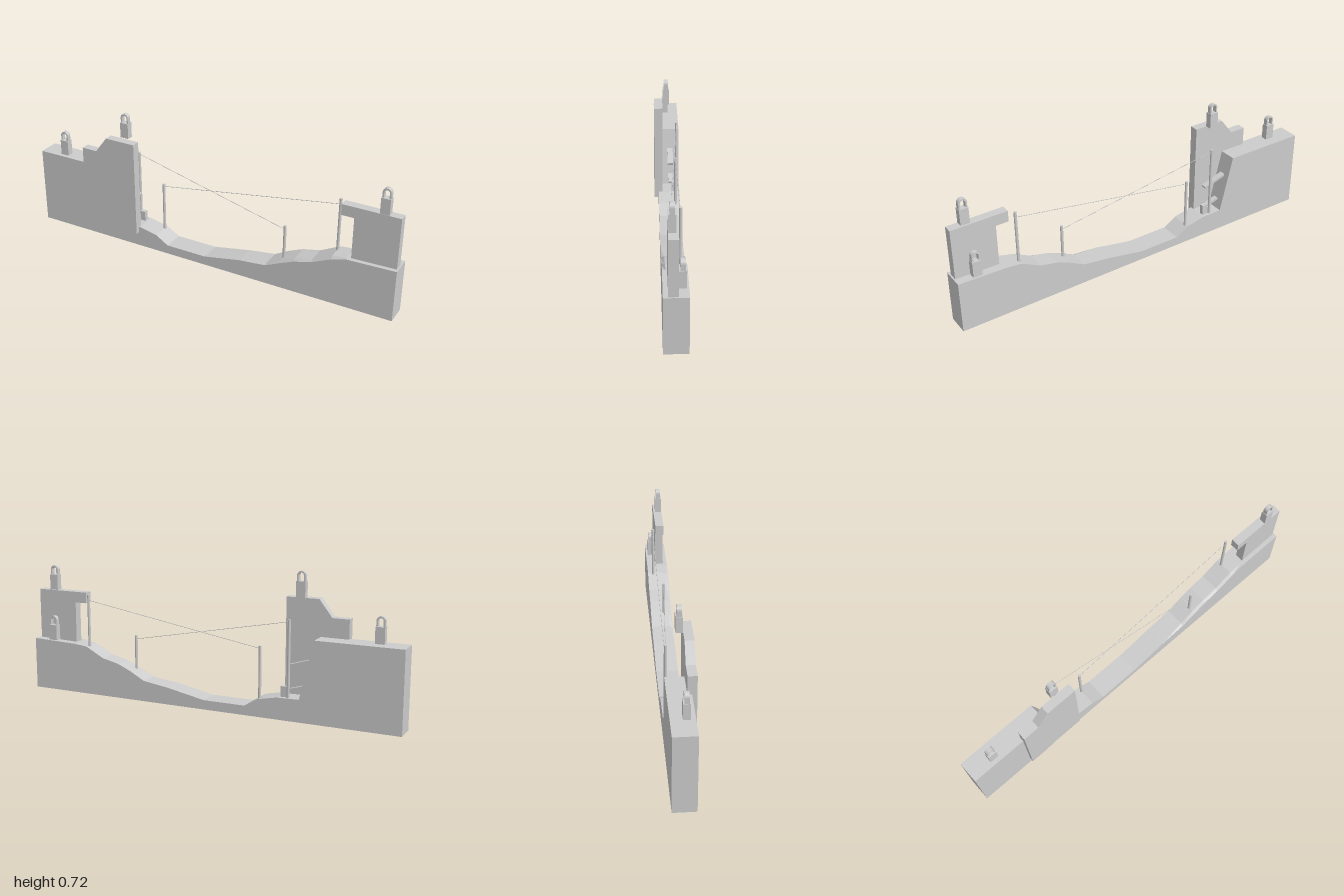
import * as THREE from 'three';

const mat = new THREE.MeshStandardMaterial({ color: 0xcccccc, flatShading: true });
const smooth = new THREE.MeshStandardMaterial({ color: 0xcccccc });

export function createModel() {
  const root = new THREE.Group();

  const add = (name, geo, x = 0, y = 0, z = 0, parent = root, m = mat) => {
    const mesh = new THREE.Mesh(geo, m);
    mesh.name = name;
    mesh.position.set(x, y, z);
    parent.add(mesh);
    return mesh;
  };

  // Flat outline in x/y, extruded between two depths
  const slab = (name, pts, z0, z1) => {
    const shape = new THREE.Shape(pts.map(p => new THREE.Vector2(p[0], p[1])));
    return add(name, new THREE.ExtrudeGeometry(shape, { depth: z1 - z0, bevelEnabled: false }), 0, 0, z0);
  };

  // Ground: stations of [x, top height, front edge drop]
  const stations = [
    [-1, 0.405, 0], [-0.57, 0.405, 0], [-0.5, 0.112, 0], [-0.39, 0.11, 0], [-0.29, 0.09, 0],
    [-0.22, 0.048, 0], [0, 0.048, 0], [0.2, 0.087, 0], [0.34, 0.107, 0.006], [0.42, 0.15, 0.012],
    [0.49, 0.18, 0.012], [0.58, 0.2, 0.008], [0.68, 0.252, 0.014], [0.75, 0.26, 0], [1, 0.268, 0]
  ];
  const pos = [], idx = [];
  for (const [x, y, drop] of stations) {
    pos.push(x, 0, 0.045, x, y - drop, 0.045, x, y, 0.03, x, y, -0.066, x, 0, -0.066);
  }
  const n = 5;
  for (let i = 0; i < stations.length - 1; i++) {
    for (let j = 0; j < n; j++) {
      const a = i * n + j, b = i * n + (j + 1) % n, c = a + n, d = b + n;
      idx.push(a, c, d, a, d, b);
    }
  }
  const last = (stations.length - 1) * n;
  for (let j = 1; j < n - 1; j++) {
    idx.push(0, j, j + 1, last, last + j + 1, last + j);
  }
  const ground = new THREE.BufferGeometry();
  ground.setAttribute('position', new THREE.Float32BufferAttribute(pos, 3));
  ground.setIndex(idx);
  const groundFlat = ground.toNonIndexed();
  groundFlat.computeVertexNormals();
  add('ground', groundFlat);

  // Tall cliff panel on the front
  slab('cliffPanel', [
    [-0.71, 0.062], [-0.63, 0.062], [-0.55, 0.076], [-0.395, 0.078],
    [-0.395, 0.585], [-0.56, 0.585], [-0.625, 0.5], [-0.71, 0.5]
  ], 0.024, 0.068);

  // Wall with overhanging top
  slab('overhangWall', [
    [0.77, 0.25], [0.992, 0.25], [0.992, 0.528], [0.705, 0.528], [0.705, 0.472], [0.77, 0.472]
  ], -0.021, 0.023);

  // Markers: box body with an arched loop on top
  const arch = new THREE.Shape();
  arch.moveTo(0.021, 0);
  arch.lineTo(0.021, 0.027);
  arch.absarc(0, 0.027, 0.021, 0, Math.PI, false);
  arch.lineTo(-0.021, 0);
  arch.lineTo(-0.013, 0);
  arch.lineTo(-0.013, 0.027);
  arch.absarc(0, 0.027, 0.013, Math.PI, 0, true);
  arch.lineTo(0.013, 0);
  const archGeo = new THREE.ExtrudeGeometry(arch, { depth: 0.022, bevelEnabled: false, curveSegments: 10 });
  const bodyGeo = new THREE.BoxGeometry(0.046, 0.08, 0.033);
  for (const [x, y, z] of [
    [-0.865, 0.405, 0.006], [-0.478, 0.588, 0.006], [0.91, 0.528, 0.006], [0.895, 0.266, -0.04]
  ]) {
    const g = new THREE.Group();
    g.name = 'marker';
    g.position.set(x, y, z);
    add('markerBody', bodyGeo, 0, 0.04, 0, g);
    add('markerLoop', archGeo, 0, 0.08, -0.011, g);
    root.add(g);
  }

  // Posts: [x, bottom, top, z]
  const posts = [
    [-0.44, 0.1, 0.49, -0.05], [-0.29, 0.085, 0.348, -0.042],
    [0.42, 0.14, 0.325, 0.003], [0.678, 0.245, 0.522, -0.037]
  ];
  for (const [x, y0, y1, z] of posts) {
    add('post', new THREE.CylinderGeometry(0.0072, 0.0072, y1 - y0, 16), x, (y0 + y1) / 2, z, root, smooth);
  }

  // Ropes strung between the posts
  const rope = (a, b) => {
    const path = new THREE.LineCurve3(new THREE.Vector3(...a), new THREE.Vector3(...b));
    add('rope', new THREE.TubeGeometry(path, 1, 0.0014, 6), 0, 0, 0, root, smooth);
  };
  rope([-0.44, 0.48, -0.05], [0.42, 0.305, 0.003]);
  rope([-0.29, 0.335, -0.042], [0.678, 0.493, -0.037]);

  // Tilted planks and a small block behind the cliff panel
  add('upperPlank', new THREE.BoxGeometry(0.14, 0.012, 0.03), -0.49, 0.28, -0.018).rotation.z = -0.3;
  add('lowerPlank', new THREE.BoxGeometry(0.07, 0.012, 0.025), -0.475, 0.155, -0.02).rotation.z = -0.3;
  add('smallBlock', new THREE.BoxGeometry(0.03, 0.055, 0.022), -0.415, 0.135, -0.035);

  return root;
}
